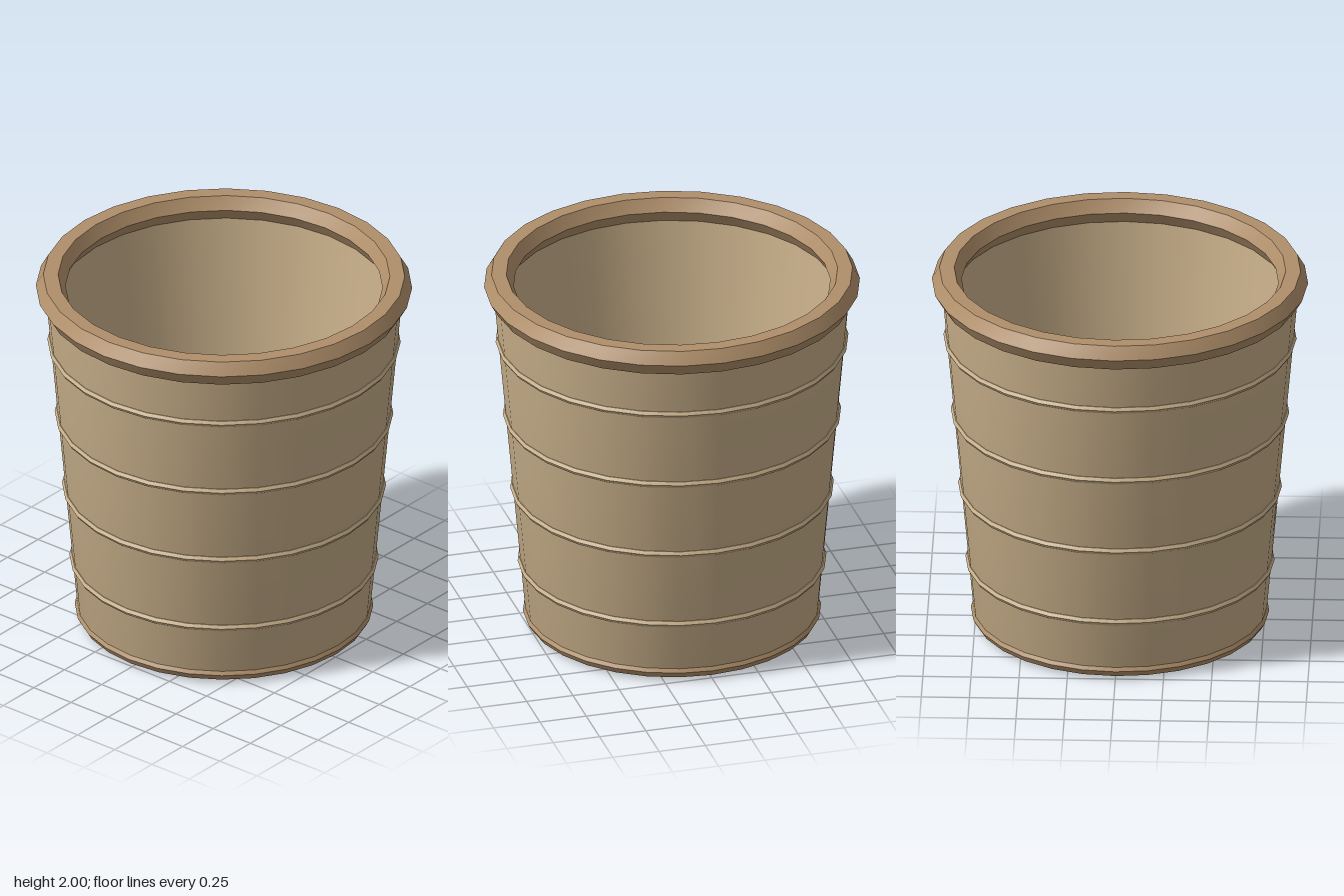
import * as THREE from 'three';
import { toCreasedNormals } from 'three/addons/utils/BufferGeometryUtils.js';

const SIDES = 28;

export function createModel() {
  const model = new THREE.Group();
  model.name = 'bucket';
  const shellMat = new THREE.MeshStandardMaterial({ color: 0xc9b08a });
  const trimMat = new THREE.MeshStandardMaterial({ color: 0xb08f6a });

  const wallRadius = (y) => 0.757 + 0.09 * y;

  const add = (name, geometry, material) => {
    const mesh = new THREE.Mesh(toCreasedNormals(geometry, Math.PI / 6), material);
    mesh.name = name;
    model.add(mesh);
  };

  // Hexagonal-section ring lying flat at height y
  const addRing = (name, radius, tube, y, material) => {
    const ring = new THREE.TorusGeometry(radius, tube, 6, SIDES);
    ring.rotateX(Math.PI / 2).translate(0, y, 0);
    add(name, ring, material);
  };

  // Tapered hollow shell: underside, chamfer, outer wall, lip, inner wall, floor
  const profile = [
    [0, 0], [0.71, 0], [0.75, 0.03], [wallRadius(0.06), 0.06],
    [wallRadius(1.93), 1.93], [0.872, 1.93], [0.7, 0.06], [0, 0.06],
  ].map(([r, y]) => new THREE.Vector2(r, y));
  add('shell', new THREE.LatheGeometry(profile, SIDES), shellMat);

  // Thick rim and foot ring
  addRing('rim', 0.9, 0.077, 1.933, trimMat);
  addRing('footRing', 0.737, 0.038, 0.053, trimMat);

  // Four evenly spaced raised ribs
  for (let i = 0; i < 4; i++) {
    const y = 0.343 + i * 0.4235;
    addRing(`rib${i + 1}`, wallRadius(y) - 0.005, 0.02, y, shellMat);
  }
  return model;
}
